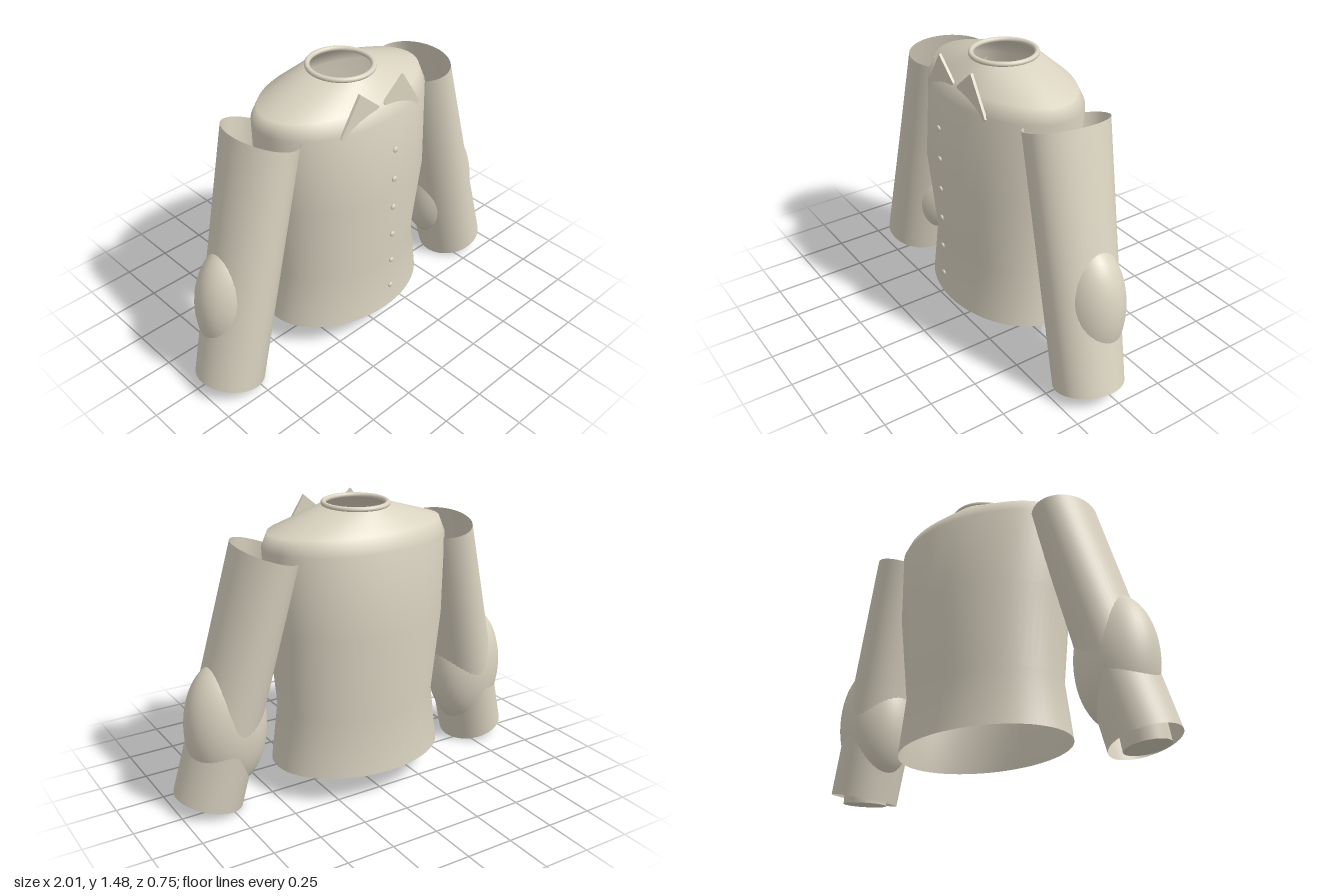
import * as THREE from 'three';

const cloth = new THREE.MeshStandardMaterial({ color: 0xd9d2c0, side: THREE.DoubleSide });
cloth.name = 'beige cloth';

// Smooth open skin through elliptical rings, listed from bottom to top
function loft(rings, sides = 64) {
  const pos = [], index = [];
  rings.forEach(({ c, u, w }, j) => {
    for (let i = 0; i < sides; i++) {
      const a = (i / sides) * Math.PI * 2;
      const p = c.clone().addScaledVector(u, Math.cos(a)).addScaledVector(w, Math.sin(a));
      pos.push(p.x, p.y, p.z);
      if (j === 0) continue;
      const n = (i + 1) % sides, lo = (j - 1) * sides, hi = j * sides;
      index.push(lo + i, hi + i, lo + n, lo + n, hi + i, hi + n);
    }
  });
  const g = new THREE.BufferGeometry();
  g.setAttribute('position', new THREE.Float32BufferAttribute(pos, 3));
  g.setIndex(index);
  g.computeVertexNormals();
  return g;
}

function add(parent, name, geometry, x = 0, y = 0, z = 0) {
  const m = new THREE.Mesh(geometry, cloth);
  m.name = name;
  m.position.set(x, y, z);
  parent.add(m);
  return m;
}

const V = (x, y, z) => new THREE.Vector3(x, y, z);

// One sleeve with its elbow, cuff and collar point, on the +x side
function createSide(name) {
  const side = new THREE.Group();
  side.name = name;

  // Tapered sleeve tube, tilted outward and slightly forward
  const u = V(1.25, 0.328, 0).normalize();
  const w = V(0, 0.053, 1).normalize();
  const ring = (c, ru, rw) => ({ c, u: u.clone().multiplyScalar(ru), w: w.clone().multiplyScalar(rw) });
  add(side, 'sleeve', loft([
    ring(V(0.833, 0.06, 0.057), 0.176, 0.178),
    ring(V(0.505, 1.312, -0.009), 0.146, 0.231),
  ], 48));

  // Padded elbow
  const elbow = add(side, 'elbow', new THREE.SphereGeometry(1, 40, 28), 0.735, 0.46, 0.015);
  elbow.scale.set(0.21, 0.34, 0.175);

  // Inner cuff inside the sleeve mouth
  const down = V(0.13, -1, 0.1).normalize();
  const end = V(0.835, 0.037, 0.067).addScaledVector(down, -0.06);
  const cuff = add(side, 'cuff', new THREE.CylinderGeometry(0.113, 0.113, 0.12, 40), end.x, end.y, end.z);
  cuff.quaternion.setFromUnitVectors(V(0, -1, 0), down);

  // Pointed collar flap
  const flap = new THREE.Shape([[0.14, 1.485], [0.258, 1.298], [0.245, 1.285], [0.018, 1.37], [0.016, 1.378]]
    .map(([x, y]) => new THREE.Vector2(x, y)));
  add(side, 'collarFlap', new THREE.ExtrudeGeometry(flap, { depth: 0.014, bevelEnabled: false }), 0, 0, 0.256);
  return side;
}

export function createModel() {
  const model = new THREE.Group();
  model.name = 'jacket';

  // Torso: height, half width, half depth
  const profile = [
    [0.16, 0.47, 0.34], [0.46, 0.432, 0.315], [0.9, 0.47, 0.361],
    [1.305, 0.496, 0.315], [1.38, 0.47, 0.272], [1.475, 0.165, 0.168],
  ];
  add(model, 'torso', loft(profile.map(([y, rx, rz]) =>
    ({ c: V(0, y, -0.01), u: V(rx, 0, 0), w: V(0, 0, rz) }))));

  // Neck band
  const band = add(model, 'neckBand', new THREE.TorusGeometry(0.157, 0.013, 14, 56), 0, 1.482, -0.01);
  band.rotation.x = Math.PI / 2;
  band.scale.y = 1.03;

  // Front buttons
  for (let i = 0; i < 6; i++) {
    const button = add(model, 'button', new THREE.SphereGeometry(0.015, 16, 12), 0, 1.177 - i * 0.1675, 0.367);
    button.scale.z = 0.5;
  }

  // Left side and its mirror image
  model.add(createSide('leftSide'));
  const right = createSide('rightSide');
  right.scale.x = -1;
  model.add(right);
  return model;
}
